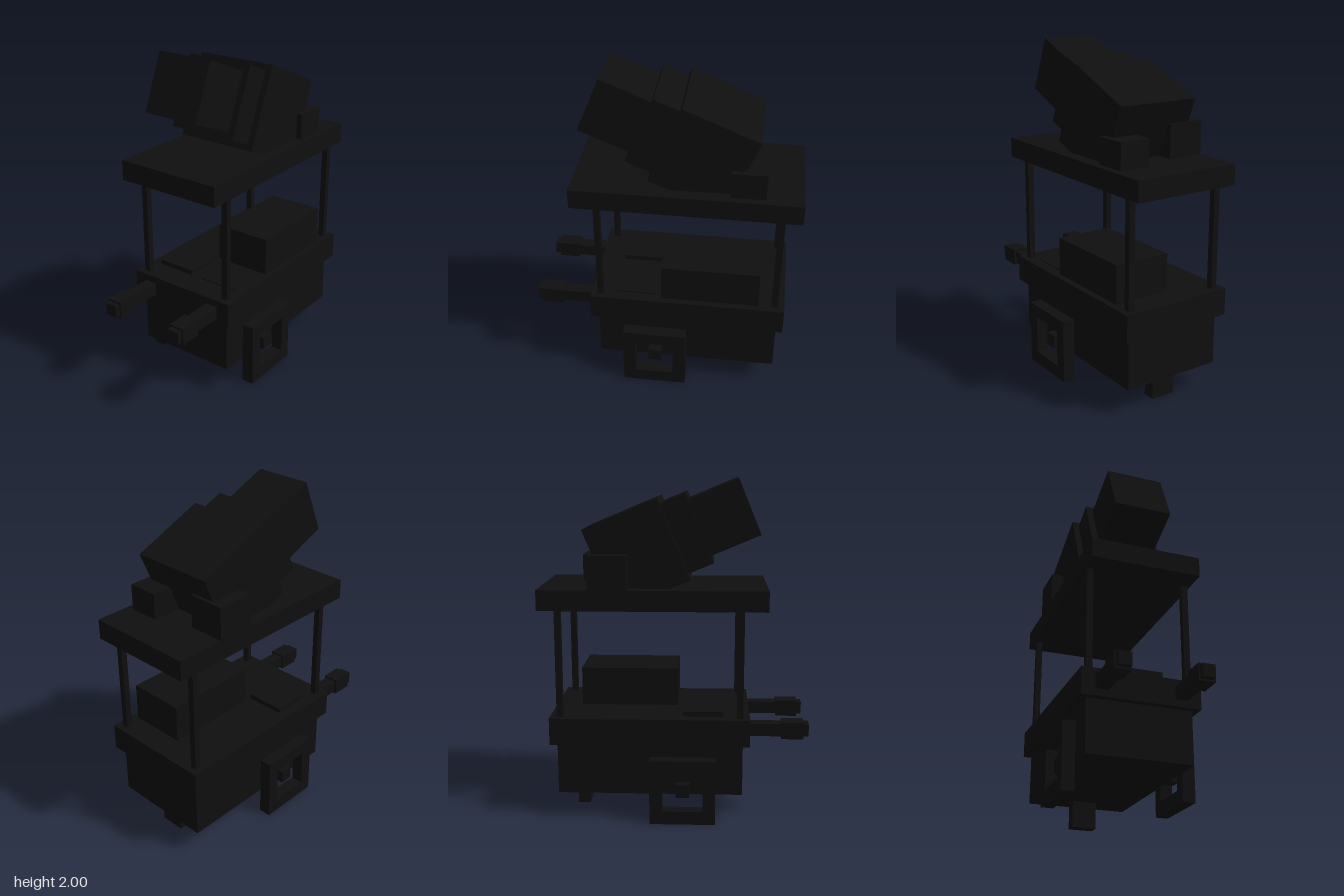
import * as THREE from 'three';

export function createModel() {
  const model = new THREE.Group();
  model.name = 'streetCart';
  const black = new THREE.MeshStandardMaterial({ color: 0x0f0f0f });
  black.name = 'black';

  // Box given by its minimum and maximum on each axis
  function box(name, x0, x1, y0, y1, z0, z1, parent = model) {
    const mesh = new THREE.Mesh(new THREE.BoxGeometry(x1 - x0, y1 - y0, z1 - z0), black);
    mesh.position.set((x0 + x1) / 2, (y0 + y1) / 2, (z0 + z1) / 2);
    mesh.name = name;
    parent.add(mesh);
    return mesh;
  }

  // Cart body, counter and rear leg
  box('body', -0.31, 0.31, 0.16, 0.48, -0.69, 0.4);
  box('counter', -0.35, 0.35, 0.47, 0.63, -0.73, 0.44);
  box('rearLeg', -0.075, 0.075, 0, 0.16, -0.61, -0.535);

  // Things on the counter
  box('warmer', -0.04, 0.31, 0.63, 0.86, -0.575, 0.01);
  box('hatch', -0.28, -0.04, 0.63, 0.66, 0.05, 0.285);
  box('tray', 0.04, 0.28, 0.63, 0.637, 0.05, 0.285);

  // Square wheel: a frame with an open middle
  const frame = new THREE.Shape();
  frame.moveTo(-0.193, -0.195).lineTo(0.193, -0.195).lineTo(0.193, 0.195).lineTo(-0.193, 0.195).closePath();
  const hole = new THREE.Path();
  hole.moveTo(-0.118, -0.115).lineTo(-0.118, 0.12).lineTo(0.118, 0.12).lineTo(0.118, -0.115).closePath();
  frame.holes.push(hole);
  const wheelGeometry = new THREE.ExtrudeGeometry(frame, { depth: 0.075, bevelEnabled: false });
  wheelGeometry.translate(0, 0, -0.0375).rotateY(Math.PI / 2);

  for (const s of [-1, 1]) {
    const side = s > 0 ? 'left' : 'right';
    const wheel = new THREE.Mesh(wheelGeometry, black);
    wheel.name = side + 'Wheel';
    wheel.position.set(s * 0.35, 0.195, 0.048);
    model.add(wheel);
    const mirrored = (name, a, b, ...rest) =>
      box(side + name, Math.min(s * a, s * b), Math.max(s * a, s * b), ...rest);
    mirrored('Hub', 0.31, 0.36, 0.155, 0.235, 0.008, 0.088);

    // Push handle with a thicker grip
    mirrored('Handle', 0.195, 0.27, 0.513, 0.588, 0.44, 0.785);
    mirrored('Grip', 0.186, 0.282, 0.5, 0.6, 0.625, 0.755);

    // Roof posts
    mirrored('FrontPost', 0.275, 0.312, 0.63, 1.26, 0.363, 0.4);
    mirrored('RearPost', 0.275, 0.312, 0.63, 1.26, -0.69, -0.653);
  }

  // Roof and the two blocks behind the sign
  box('roof', -0.33, 0.33, 1.26, 1.38, -0.787, 0.535);
  box('rightRoofBlock', -0.33, -0.11, 1.38, 1.575, -0.495, -0.27);
  box('leftRoofBlock', 0.1, 0.287, 1.38, 1.535, -0.575, -0.375);

  // Tilted stepped ornament on the roof
  const ornament = new THREE.Group();
  ornament.name = 'roofOrnament';
  ornament.position.set(0, 1.66, -0.005);
  ornament.rotation.x = -0.394;
  model.add(ornament);
  box('ornamentBase', -0.253, 0.253, -0.25, 0.25, -0.465, 0, ornament);
  box('ornamentCollar', -0.215, 0.215, -0.214, 0.214, 0, 0.157, ornament);
  box('ornamentTip', -0.175, 0.175, -0.172, 0.172, 0.157, 0.467, ornament);

  return model;
}
